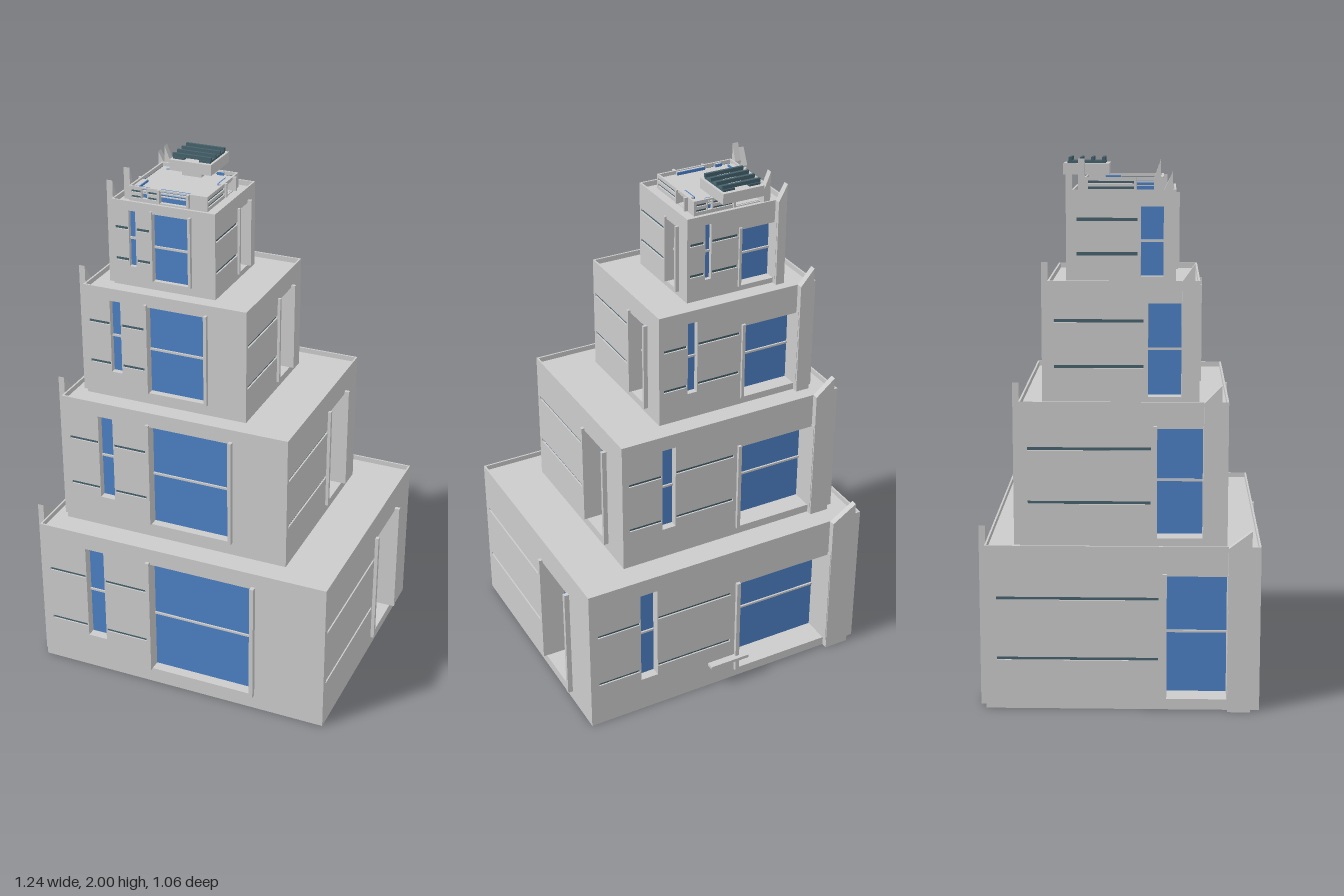
import * as THREE from 'three';

const grey = new THREE.MeshStandardMaterial({ color: 0xcccccc });
const glass = new THREE.MeshStandardMaterial({ color: 0x4d80c4 });
const dark = new THREE.MeshStandardMaterial({ color: 0x46626c });
const T = 0.007; // wall thickness

function box(parent, name, mat, x0, x1, y0, y1, z0, z1) {
  const m = new THREE.Mesh(new THREE.BoxGeometry(x1 - x0, y1 - y0, z1 - z0), mat);
  m.position.set((x0 + x1) / 2, (y0 + y1) / 2, (z0 + z1) / 2);
  m.name = name;
  parent.add(m);
  return m;
}

function rect(Type, x0, x1, y0, y1) {
  const s = new Type();
  s.moveTo(x0, y0);
  s.lineTo(x1, y0);
  s.lineTo(x1, y1);
  s.lineTo(x0, y1);
  s.closePath();
  return s;
}

function extrude(parent, name, shape, depth, z) {
  const g = new THREE.ExtrudeGeometry(shape, { depth, bevelEnabled: false });
  const m = new THREE.Mesh(g, grey);
  m.position.z = z;
  m.name = name;
  parent.add(m);
}

// Facade layouts: u runs left to right and v bottom to top, as fractions of the wall
const facades = {
  front: { window: [0.398, 0.75, 0.1, 0.89], slit: [0.164, 0.23, 0.234, 0.89], groove: [0.03, 0.38], depth: 0.035 },
  right: { window: [0.58, 0.81, 0.065, 0.82], groove: [0.025, 0.56], depth: 0.08 },
  back: { window: [0.54, 0.88, 0.06, 0.74], slit: [0.18, 0.24, 0.234, 0.89], groove: [0.03, 0.51], depth: 0.1, fin: true },
  left: { window: [0.66, 0.88, 0.065, 0.82], groove: [0.04, 0.63], depth: 0.08, fin: true },
};

// Recessed opening: reveal, glass pane and a mid rail
function opening(parent, name, shape, [x0, x1, y0, y1], depth) {
  shape.holes.push(rect(THREE.Path, x0, x1, y0, y1));
  const e = 0.003;
  const reveal = rect(THREE.Shape, x0 - e, x1 + e, y0 - e, y1 + e);
  reveal.holes.push(rect(THREE.Path, x0, x1, y0, y1));
  extrude(parent, name + 'Reveal', reveal, depth, -T - depth);
  const z = -T - depth;
  box(parent, name + 'Glass', glass, x0 - e, x1 + e, y0 - e, y1 + e, z - 0.004, z + 0.001);
  const mid = (y0 + y1) / 2, r = Math.min(0.004, (y1 - y0) * 0.04);
  box(parent, name + 'Rail', grey, x0, x1, mid - r, mid + r, z, z + 0.008);
}

function buildFacade(name, f, w, h, s) {
  const g = new THREE.Group();
  g.name = name + 'Facade';
  const scale = ([a, b, c, d]) => [a * w, b * w, c * h, d * h];
  // side walls fit between the front and back walls
  const inset = name === 'left' || name === 'right' ? T : 0;
  const wall = rect(THREE.Shape, inset, w - inset, 0, h);
  const win = scale(f.window);
  opening(g, 'window', wall, win, f.depth * s);

  // Shallow horizontal grooves, broken by the slit window
  let spans = [[f.groove[0] * w, f.groove[1] * w]];
  if (f.slit) {
    const slit = scale(f.slit);
    opening(g, 'slitWindow', wall, slit, 0.03 * s);
    spans = [[spans[0][0], slit[0] - 0.004], [slit[1] + 0.004, spans[0][1]]];
  }
  for (const v of [0.31, 0.68]) {
    for (const [a, b] of spans) {
      const y = v * h, r = Math.min(0.006, h * 0.08);
      wall.holes.push(rect(THREE.Path, a, b, y - r, y + r));
      box(g, 'grooveBack', dark, a, b, y - r, y + r, -T - 0.002, -T + 0.001);
    }
  }
  extrude(g, 'wall', wall, T, -T);

  // Projecting jambs beside the window
  const jw = 0.007 + 0.009 * s, out = 0.012 + 0.008 * s;
  const top = Math.min(win[3] + 0.01, h);
  box(g, 'leftJamb', grey, win[0] - jw, win[0], win[2], top, -T, out - 0.006);
  box(g, 'rightJamb', grey, win[1], win[1] + jw, win[2], top, -T, out);

  // Tall corner fin with a slanted top
  if (f.fin) {
    const fin = new THREE.Shape();
    fin.moveTo(0.882 * w, 0);
    fin.lineTo(0.966 * w, 0);
    fin.lineTo(0.966 * w, h + 0.065);
    fin.lineTo(0.882 * w, h);
    fin.closePath();
    extrude(g, 'cornerFin', fin, 0.024, 0);
  }
  return g;
}

// Tier with four facades whose walls rise above the roof as a parapet
function buildTier(name, [x0, x1, z0, z1, y0, y1]) {
  const tier = new THREE.Group();
  tier.name = name;
  const w = x1 - x0, d = z1 - z0, h = y1 - y0, s = w / 1.19;
  const places = {
    front: [x0, z1, 0, w],
    right: [x1, z1, Math.PI / 2, d],
    back: [x1, z0, Math.PI, w],
    left: [x0, z0, -Math.PI / 2, d],
  };
  for (const [side, [x, z, turn, width]] of Object.entries(places)) {
    const facade = buildFacade(side, facades[side], width, h, s);
    facade.position.set(x, y0, z);
    facade.rotation.y = turn;
    tier.add(facade);
  }
  const roof = y1 - Math.min(0.02, h * 0.25);
  box(tier, 'roof', grey, x0 + T, x1 - T, roof - 0.005, roof, z0 + T, z1 - T);
  box(tier, 'floor', grey, x0 + T, x1 - T, y0, y0 + 0.005, z0 + T, z1 - T);
  return tier;
}

export function createModel() {
  const model = new THREE.Group();
  model.name = 'steppedTower';
  const tiers = [
    [-0.597, 0.597, -0.5, 0.505, 0, 0.62],
    [-0.538, 0.389, -0.375, 0.384, 0.6, 1.14],
    [-0.481, 0.18, -0.27, 0.278, 1.12, 1.57],
    [-0.395, 0.02, -0.184, 0.191, 1.555, 1.89],
    [-0.345, -0.03, -0.141, 0.145, 1.875, 1.932],
  ];
  tiers.forEach((t, i) => model.add(buildTier('tier' + (i + 1), t)));

  // Ledge by the back entrance
  box(model, 'backLedge', grey, -0.083, 0.086, 0.1, 0.113, -0.53, -0.495);

  // Rooftop tray with pads and crossbars
  const unit = new THREE.Group();
  unit.name = 'rooftopUnit';
  box(unit, 'tray', grey, -0.273, -0.103, 1.937, 1.978, -0.223, -0.053);
  box(unit, 'traySupport', grey, -0.23, -0.15, 1.91, 1.938, -0.13, -0.07);
  for (const x of [-0.242, -0.136]) box(unit, 'pad', dark, x - 0.023, x + 0.023, 1.977, 1.986, -0.207, -0.068);
  for (let i = 0; i < 4; i++) {
    const z = -0.198 + i * 0.041;
    box(unit, 'crossbar', dark, -0.268, -0.11, 1.986, 2.0, z - 0.005, z + 0.005);
  }
  model.add(unit);
  return model;
}
